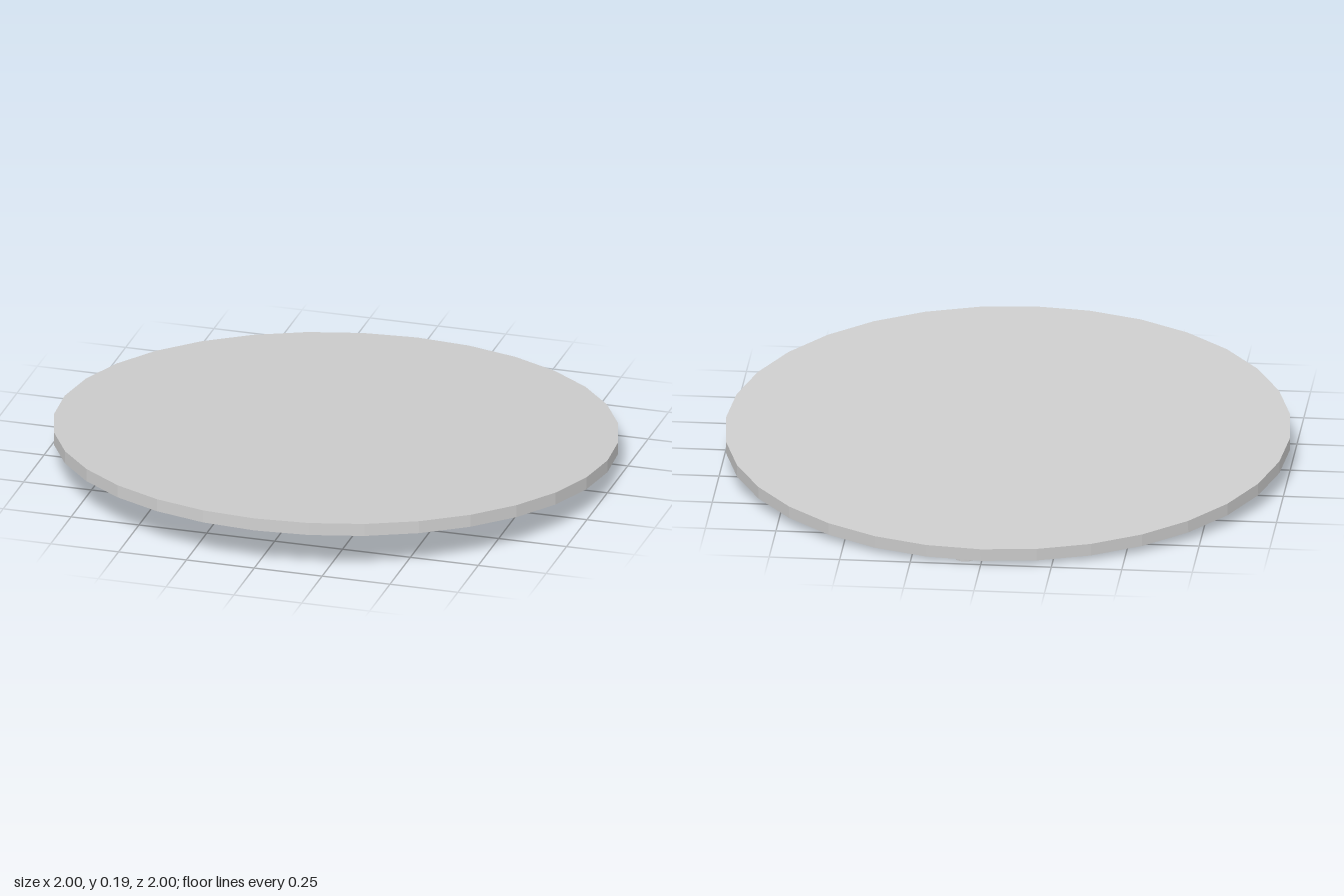
import * as THREE from 'three';

const THICK = 0.045, DEPTH = 0.015, HALF = 0.018, PAD = 0.04;

// Traces: [pads (0 none, 1 first, 2 last, 3 both), x, z, x, z, ...]
const ringTraces = [
  [3, 0.57, -0.64, 0.57, -0.40, 0.28, -0.10],
  [1, 0.46, -0.70, 0.46, -0.42, 0.20, -0.16],
  [0, 0.40, -0.77, 0.34, -0.70, 0.34, -0.42, 0.17, -0.25],
  [0, 0.32, -0.84, 0.24, -0.75, 0.24, -0.42, 0.17, -0.35],
  [1, 0.15, -0.88, 0.15, -0.38],
  [1, 0.06, -0.94, 0.06, -0.42],
  [0, -0.02, -0.94, -0.02, -0.40],
  [0, -0.10, -0.94, -0.10, -0.56, -0.20, -0.46],
  [1, -0.17, -0.79, -0.17, -0.67, -0.29, -0.55, -0.29, -0.36, -0.20, -0.27, -0.07, -0.27],
  [1, -0.24, -0.86, -0.41, -0.66, -0.41, -0.34, -0.24, -0.17, 0.05, -0.17],
  [1, -0.52, -0.45, -0.52, -0.30, -0.31, -0.09, 0.12, -0.09],
];
const longTraces = [
  [3, -0.64, -0.26, -0.40, -0.02, 0.20, -0.02],
  [3, -0.68, -0.15, -0.47, 0.06, 0.28, 0.06, 0.64, -0.30],
  [3, -0.66, 0.00, -0.53, 0.13, 0.35, 0.13, 0.65, -0.17],
  [3, -0.63, 0.34, 0.45, 0.34, 0.67, 0.12],
  [1, -0.61, 0.41, 0.48, 0.41, 0.66, 0.23],
  [3, -0.56, 0.48, 0.51, 0.48, 0.63, 0.36],
];
const frontTraces = [
  [3, -0.47, 0.57, -0.33, 0.57],
  [1, -0.58, 0.64, -0.33, 0.64],
  [3, -0.50, 0.70, 0.37, 0.70, 0.54, 0.53],
  [3, -0.43, 0.77, 0.34, 0.77, 0.41, 0.70],
  [3, -0.34, 0.84, 0.20, 0.84, 0.27, 0.77],
  [0, 0.29, 0.59, 0.43, 0.59, 0.57, 0.45],
];
const paleTraces = [
  [0, -0.61, 0.20, 0.42, 0.20, 0.68, -0.06],
  [0, -0.36, 0.27, 0.45, 0.27, 0.68, 0.04],
  [0, -0.28, 0.57, 0.24, 0.57],
  [0, -0.28, 0.63, 0.24, 0.63],
];

// Extrude a flat x/z outline downwards from the underside
function raised(shape, materials, name) {
  const geo = new THREE.ExtrudeGeometry(shape, { depth: DEPTH + 0.005, bevelEnabled: false, curveSegments: 8 });
  geo.rotateX(Math.PI / 2).translate(0, 0.005, 0);
  const mesh = new THREE.Mesh(geo, materials);
  mesh.name = name;
  return mesh;
}

// Constant-width strip along a polyline with mitred corners
function strip(pts) {
  const left = [], right = [];
  pts.forEach((p, i) => {
    const a = p.clone().sub(pts[Math.max(i - 1, 0)]).normalize();
    const b = pts[Math.min(i + 1, pts.length - 1)].clone().sub(p).normalize();
    const t = a.clone().add(b).normalize();
    const k = HALF / Math.max(t.dot(i ? a : b), 0.5);
    const n = new THREE.Vector2(-t.y, t.x).multiplyScalar(k);
    left.push(p.clone().add(n));
    right.unshift(p.clone().sub(n));
  });
  return new THREE.Shape([...left, ...right]);
}

function annulus(x, z, outer, inner) {
  const s = new THREE.Shape().absarc(x, z, outer, 0, Math.PI * 2);
  if (inner) s.holes.push(new THREE.Path().absarc(x, z, inner, 0, Math.PI * 2, true));
  return s;
}

function addTraces(group, list, materials, name) {
  for (const [pads, ...c] of list) {
    const pts = [];
    for (let i = 0; i < c.length; i += 2) pts.push(new THREE.Vector2(c[i], c[i + 1]));
    const trim = (end, next) => {
      group.add(raised(annulus(end.x, end.y, PAD, 0.016), materials, 'solderPad'));
      end.add(next.clone().sub(end).setLength(PAD * 0.75));
    };
    if (pads & 1) trim(pts[0], pts[1]);
    if (pads & 2) trim(pts[pts.length - 1], pts[pts.length - 2]);
    group.add(raised(strip(pts), materials, name));
  }
}

export function createModel() {
  const grey = new THREE.MeshStandardMaterial({ color: 0xcccccc });
  grey.name = 'lightGrey';
  grey.flatShading = true;
  const black = new THREE.MeshStandardMaterial({ color: 0x080808 });
  black.name = 'black';

  const model = new THREE.Group();
  model.name = 'circuitDisc';
  const tilted = new THREE.Group();
  tilted.name = 'tiltedDisc';
  tilted.rotation.x = -0.065;
  tilted.position.y = 0.081;
  model.add(tilted);

  // Faceted round plate
  const plate = new THREE.Mesh(new THREE.CylinderGeometry(1, 1, THICK, 32), grey);
  plate.name = 'plate';
  plate.position.y = THICK / 2;
  tilted.add(plate);

  // Raised circuit on the underside: dark faces, grey walls
  const circuit = new THREE.Group();
  circuit.name = 'circuit';
  tilted.add(circuit);
  const dark = [black, grey];
  addTraces(circuit, ringTraces, dark, 'ringTrace');
  addTraces(circuit, longTraces, dark, 'longTrace');
  addTraces(circuit, frontTraces, dark, 'frontTrace');
  addTraces(circuit, paleTraces, [grey, grey], 'paleTrace');

  // Hub ring with a centre dot
  circuit.add(raised(annulus(0.055, -0.3, 0.125, 0.085), dark, 'hubRing'));
  circuit.add(raised(annulus(0.055, -0.3, 0.045), dark, 'hubDot'));
  return model;
}
